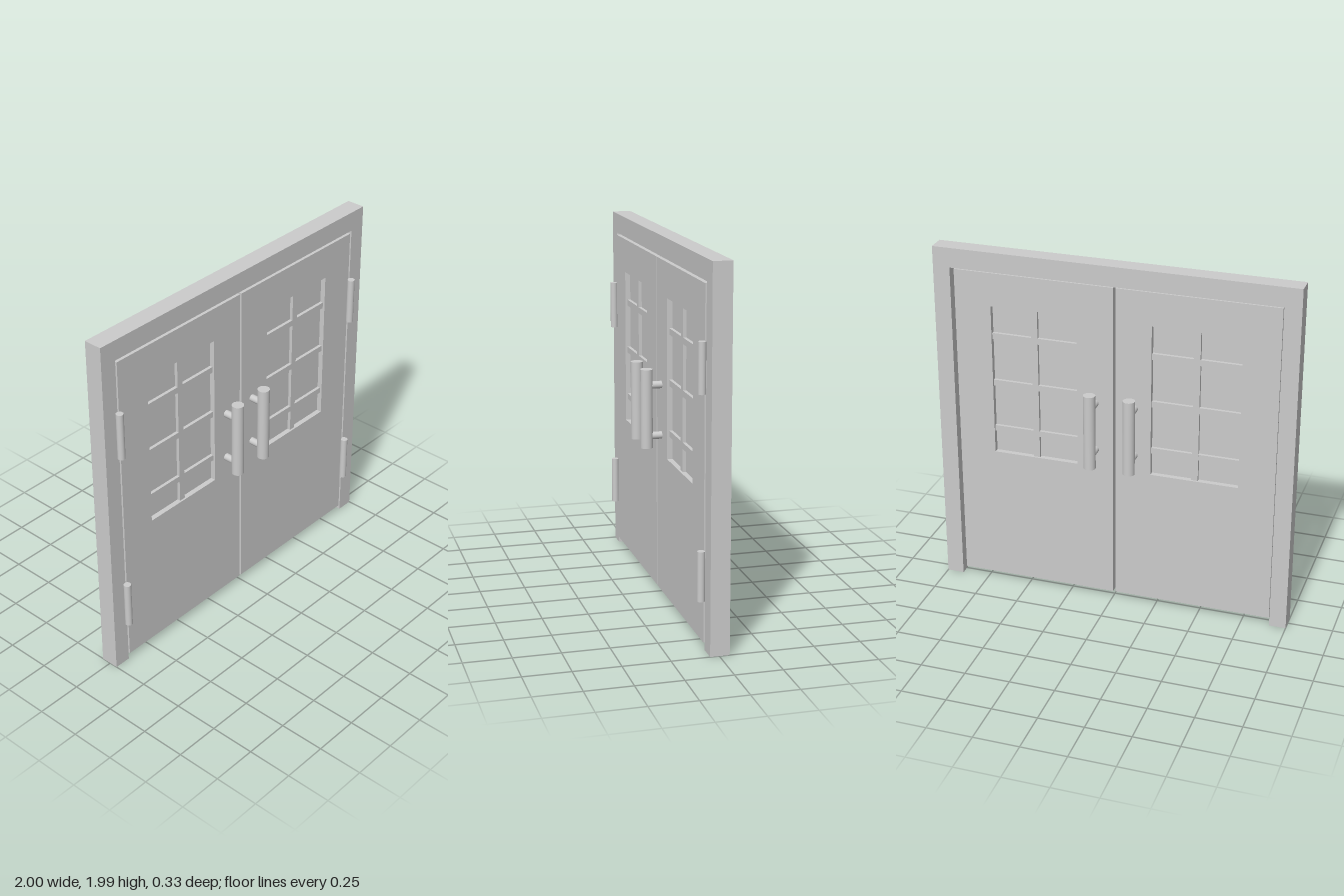
import * as THREE from 'three';

const material = new THREE.MeshStandardMaterial({ color: 0xcccccc });

function add(parent, name, geometry, x = 0, y = 0, z = 0) {
  const mesh = new THREE.Mesh(geometry, material);
  mesh.name = name;
  mesh.position.set(x, y, z);
  parent.add(mesh);
  return mesh;
}

// Box given by its limits on each axis
function block(parent, name, x0, x1, y0, y1, z0, z1) {
  return add(parent, name, new THREE.BoxGeometry(x1 - x0, y1 - y0, z1 - z0),
    (x0 + x1) / 2, (y0 + y1) / 2, (z0 + z1) / 2);
}

// Closed loop of corner points of a rectangle
function rectangle(x0, x1, y0, y1) {
  return [[x0, y0], [x1, y0], [x1, y1], [x0, y1]].map(([x, y]) => new THREE.Vector2(x, y));
}

const DOOR_BACK = -0.035, DOOR_FRONT = 0.051;
const WIN_BOTTOM = 0.81, WIN_TOP = 1.675;

// Door leaf with a recessed, barred window
function makeDoor(name, x0, x1, wx0, wx1) {
  const door = new THREE.Group();
  door.name = name;

  const shape = new THREE.Shape(rectangle(x0, x1, 0.035, 1.863));
  shape.holes.push(new THREE.Path(rectangle(wx0, wx1, WIN_BOTTOM, WIN_TOP)));
  add(door, 'doorLeaf', new THREE.ExtrudeGeometry(shape, {
    depth: DOOR_FRONT - DOOR_BACK, bevelEnabled: false
  }), 0, 0, DOOR_BACK);

  block(door, 'windowPane', wx0, wx1, WIN_BOTTOM, WIN_TOP, -0.006, 0.022);

  // Bars stand proud of the pane on both faces
  const mid = (wx0 + wx1) / 2;
  block(door, 'verticalBar', mid - 0.018, mid + 0.018, WIN_BOTTOM, WIN_TOP, -0.024, 0.04);
  for (const y of [0.95, 1.225, 1.5]) {
    block(door, 'horizontalBar', wx0, wx1, y - 0.017, y + 0.017, -0.0235, 0.0395);
  }
  return door;
}

// Upright pull with two posts; side is +1 for the front and -1 for the back
function makeHandle(name, x, side) {
  const handle = new THREE.Group();
  handle.name = name;
  add(handle, 'grip', new THREE.CylinderGeometry(0.033, 0.033, 0.43, 32), x, 1.065, side * 0.133);
  for (const y of [0.915, 1.192]) {
    const post = add(handle, 'post', new THREE.CylinderGeometry(0.02, 0.02, 0.113, 24),
      x, y, side * 0.0765);
    post.rotation.x = Math.PI / 2;
  }
  return handle;
}

export function createModel() {
  const model = new THREE.Group();
  model.name = 'doubleDoor';

  // Door frame: two jambs and a lintel in one piece
  const outline = [[-1, 0], [-0.907, 0], [-0.907, 1.875], [0.905, 1.875],
    [0.905, 0], [1, 0], [1, 1.985], [-1, 1.985]].map(([x, y]) => new THREE.Vector2(x, y));
  add(model, 'frame', new THREE.ExtrudeGeometry(new THREE.Shape(outline), {
    depth: 0.102, bevelEnabled: false
  }), 0, 0, -0.054);

  model.add(makeDoor('rightDoor', -0.9, -0.013, -0.7, -0.212));
  model.add(makeDoor('leftDoor', 0, 0.89, 0.203, 0.686));

  model.add(makeHandle('rightFrontHandle', -0.12, 1));
  model.add(makeHandle('leftFrontHandle', 0.086, 1));
  model.add(makeHandle('rightBackHandle', -0.12, -1));
  model.add(makeHandle('leftBackHandle', 0.1, -1));

  // Hinge barrels on the front
  for (const x of [-0.911, 0.896]) {
    for (const y of [0.391, 1.452]) {
      add(model, 'hinge', new THREE.CylinderGeometry(0.02, 0.02, 0.262, 24), x, y, 0.067);
    }
  }
  return model;
}
